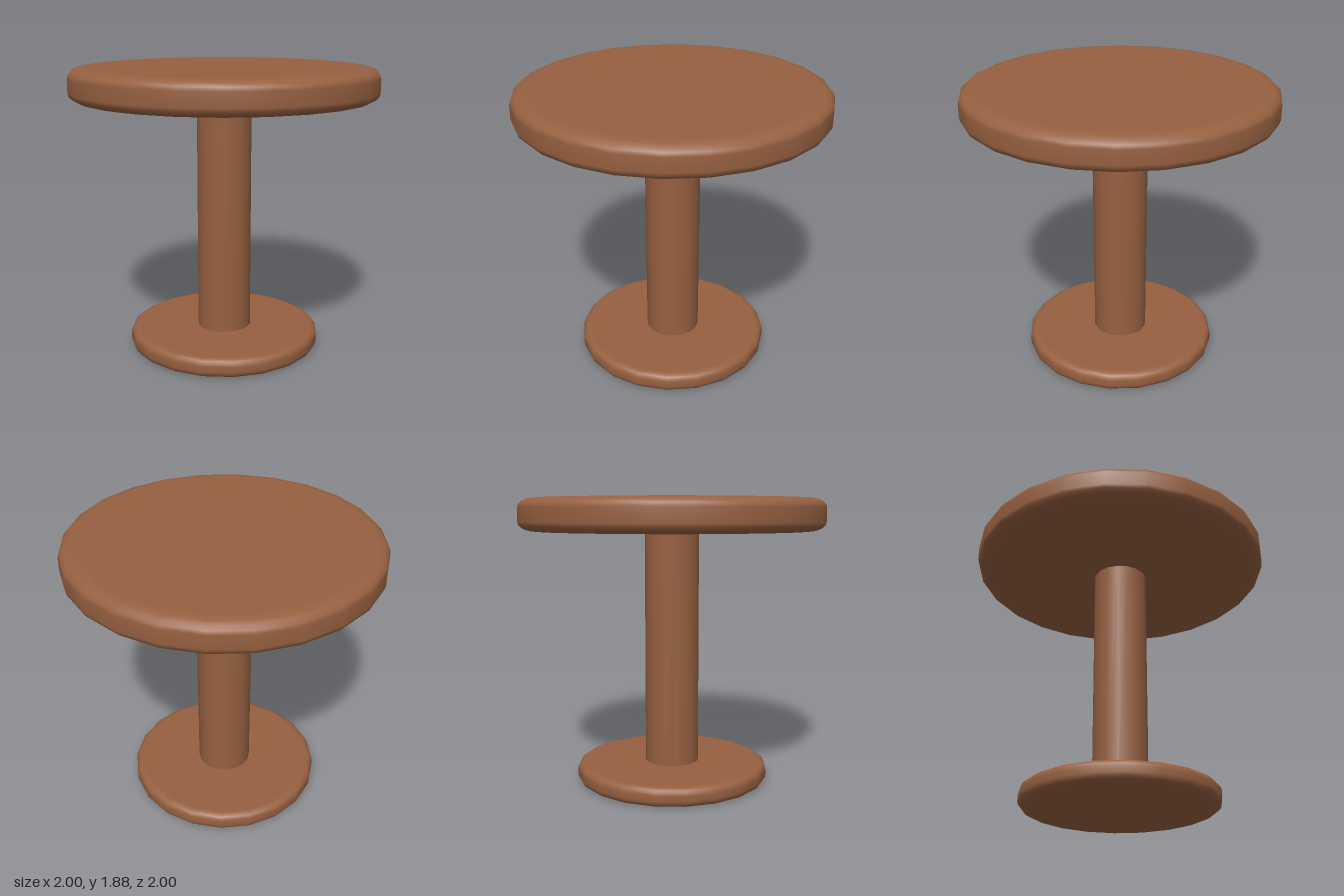
import * as THREE from 'three';

const wood = new THREE.MeshStandardMaterial({ color: 0x966040 });
wood.name = 'brown wood';

// Round slab with softened rims, turned about the y axis
function roundSlab(name, radius, bottom, top, bevelX, bevelY, sides) {
  const steps = 4;
  const flat = radius - bevelX;
  const points = [new THREE.Vector2(0, bottom), new THREE.Vector2(flat - 0.01, bottom)];
  for (const [edgeY, start] of [[bottom + bevelY, -Math.PI / 2], [top - bevelY, 0]]) {
    for (let i = 0; i <= steps; i++) {
      const a = start + (i / steps) * Math.PI / 2;
      points.push(new THREE.Vector2(flat + bevelX * Math.cos(a), edgeY + bevelY * Math.sin(a)));
    }
  }
  points.push(new THREE.Vector2(flat - 0.01, top), new THREE.Vector2(0, top));
  const mesh = new THREE.Mesh(new THREE.LatheGeometry(points, sides), wood);
  mesh.name = name;
  return mesh;
}

export function createModel() {
  const model = new THREE.Group();
  model.name = 'pedestalTable';

  // Foot and table top
  model.add(roundSlab('base', 0.64, 0, 0.125, 0.045, 0.045, 20));
  model.add(roundSlab('tableTop', 1, 1.675, 1.885, 0.09, 0.06, 24));

  // Central column, ends hidden inside the slabs
  const column = new THREE.Mesh(new THREE.CylinderGeometry(0.18, 0.18, 1.66, 16, 1, true), wood);
  column.name = 'column';
  column.position.y = 0.9;
  model.add(column);

  return model;
}
